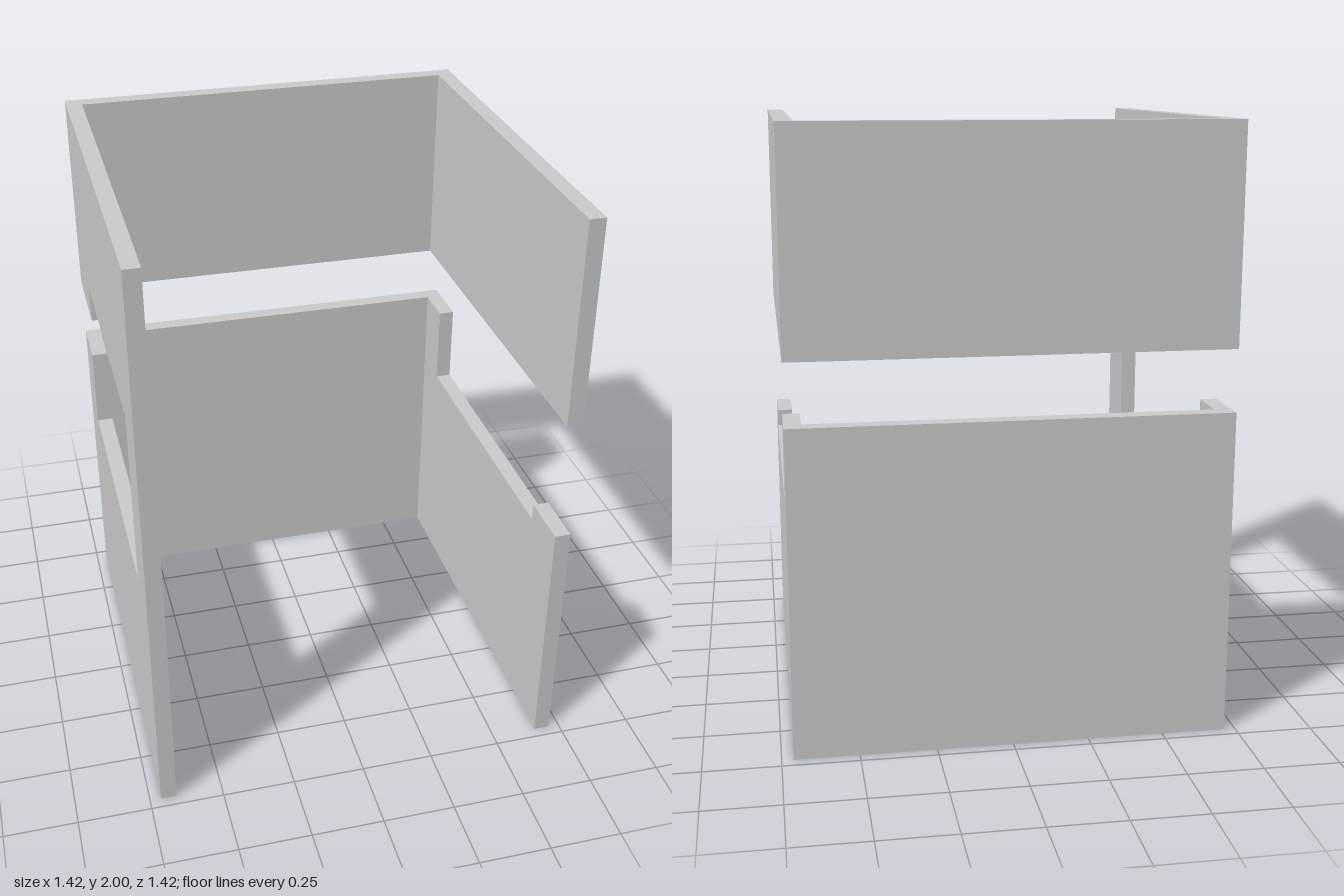
import * as THREE from 'three';

const HALF = 0.7125, T = 0.055;      // half width of the square plan, wall thickness
const LOW = 1.085, HIGH = 1.29;      // gap between the lower and upper shells
const SILL = 0.8, HEAD = 1.42;       // window opening heights
const FRONT = 0.52, REAR = -0.508;   // window opening along z

export function createModel() {
  const group = new THREE.Group();
  const material = new THREE.MeshStandardMaterial({ color: 0xcccccc, flatShading: true });

  const add = (name, geometry) => {
    const mesh = new THREE.Mesh(geometry, material);
    mesh.name = name;
    group.add(mesh);
  };

  // Side wall from a (z, y) outline, extruded towards -x from its outer or inner face
  const sideWall = (name, outline, xMax) => {
    const shape = new THREE.Shape(outline.map(([z, y]) => new THREE.Vector2(z, y)));
    const geometry = new THREE.ExtrudeGeometry(shape, { depth: T, bevelEnabled: false });
    geometry.rotateY(-Math.PI / 2).translate(xMax, 0, 0);
    add(name, geometry);
  };

  // Back wall panel fitted between the side walls
  const backWall = (name, y0, y1) => {
    const geometry = new THREE.BoxGeometry(2 * (HALF - T), y1 - y0, T);
    geometry.translate(0, (y0 + y1) / 2, -HALF + T / 2);
    add(name, geometry);
  };

  backWall('lowerBackWall', 0, LOW);
  backWall('upperBackWall', HIGH, 2);

  // Left side: separate lower and upper walls, the lower one stepped at both ends
  sideWall('lowerLeftWall', [
    [-HALF, 0], [HALF, 0], [HALF, 0.86], [FRONT, 0.86],
    [FRONT, SILL], [REAR, SILL], [REAR, LOW], [-HALF, LOW],
  ], HALF);
  sideWall('upperLeftWall', [[-HALF, HIGH], [HALF, HIGH], [HALF, 2], [-HALF, 2]], HALF);

  // Right side: one wall joined by a front post, with a window open to the rear gap
  sideWall('rightWall', [
    [-HALF, 0], [HALF, 0], [HALF, 2], [-HALF, 2], [-HALF, HIGH], [-0.39, HIGH],
    [-0.39, HEAD], [FRONT, HEAD], [FRONT, SILL], [REAR, SILL], [REAR, LOW], [-HALF, LOW],
  ], -HALF + T);

  return group;
}
